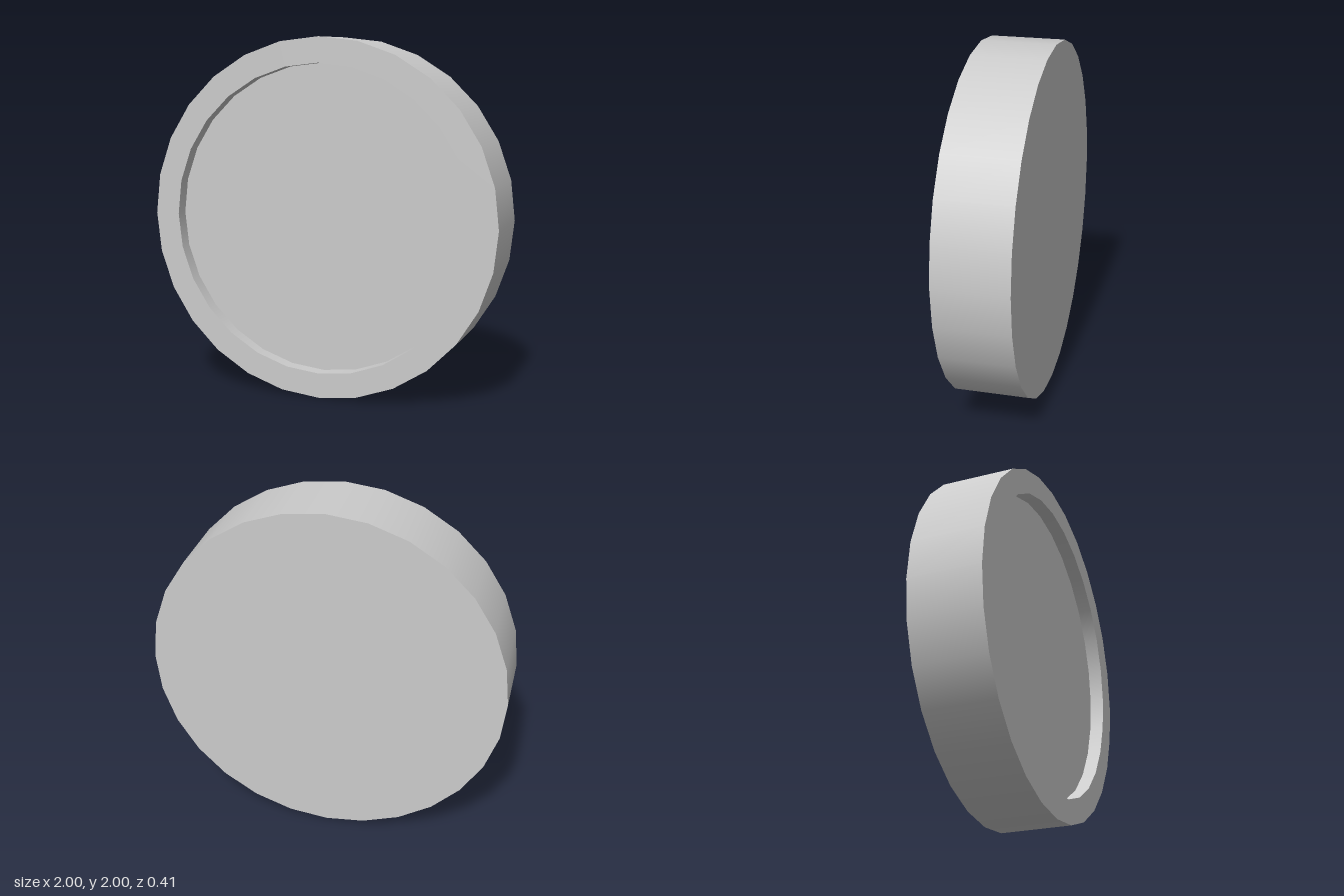
import * as THREE from 'three';

const SIDES = 28;
const OUTER = 1;      // disc radius
const INNER = 0.86;   // recess radius
const HALF = 0.205;   // half thickness
const FLOOR = 0.125;  // z of the recess floor

export function createModel() {
  const model = new THREE.Group();
  model.name = 'recessedDisc';
  const material = new THREE.MeshStandardMaterial({ color: 0xcccccc });

  const add = (name, geometry, z = 0) => {
    const mesh = new THREE.Mesh(geometry, material);
    mesh.name = name;
    mesh.position.set(0, 1, z);
    model.add(mesh);
  };

  // Smooth round wall along z; it faces outward when z0 < z1, inward when z0 > z1
  const wall = (radius, z0, z1) => new THREE.LatheGeometry(
    [new THREE.Vector2(radius, z0), new THREE.Vector2(radius, z1)], SIDES
  ).rotateX(Math.PI / 2);

  // Outer side and flat back
  add('outerWall', wall(OUTER, -HALF, HALF));
  add('backFace', new THREE.CircleGeometry(OUTER, SIDES).rotateY(Math.PI), -HALF);

  // Front rim around a shallow recess
  add('frontRim', new THREE.RingGeometry(INNER, OUTER, SIDES), HALF);
  add('recessWall', wall(INNER, HALF, FLOOR));
  add('recessFloor', new THREE.CircleGeometry(INNER, SIDES), FLOOR);

  return model;
}
